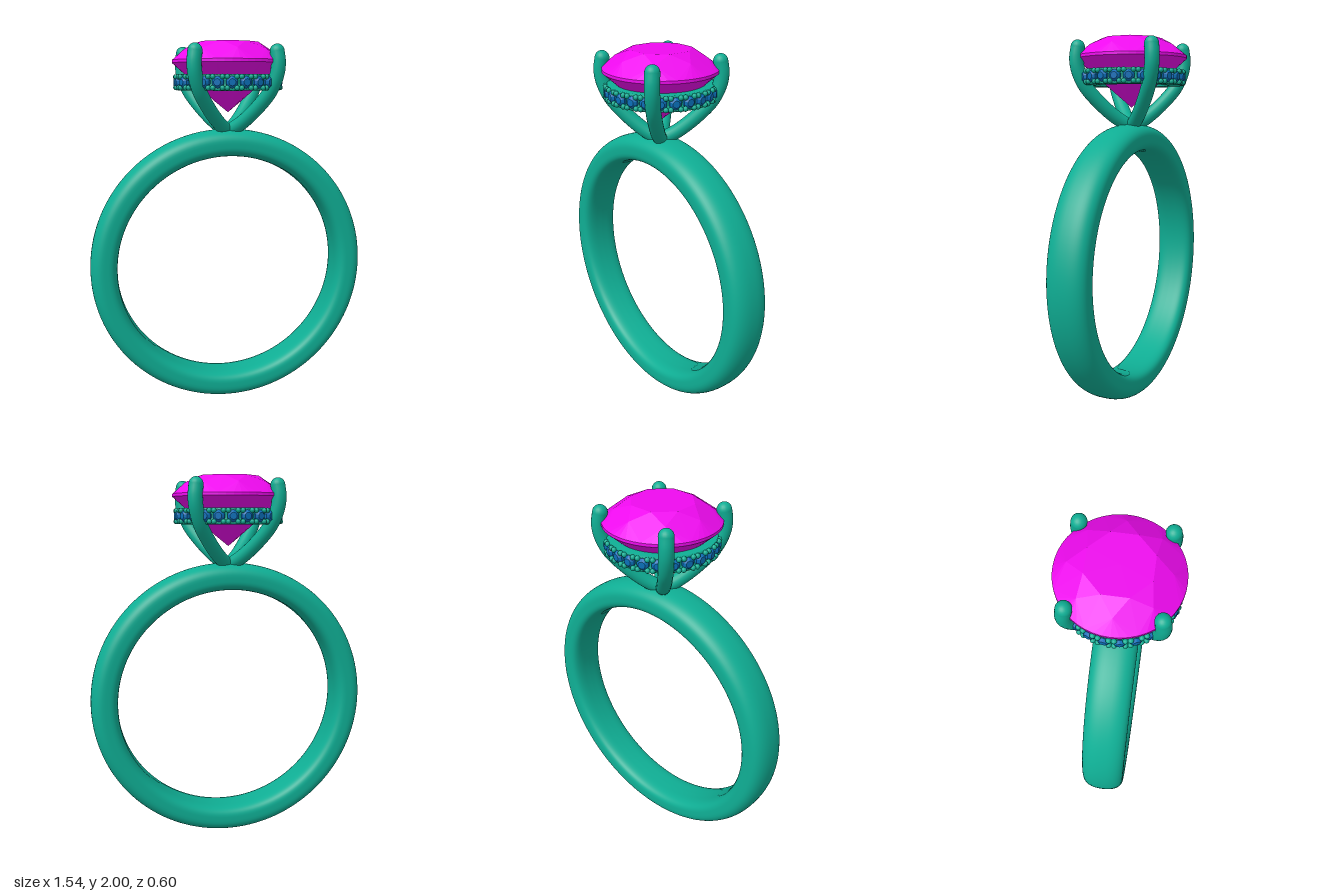
import * as THREE from 'three';

const metal = new THREE.MeshStandardMaterial({ color: 0x0fae94 });
const pink = new THREE.MeshStandardMaterial({ color: 0xee0aee, flatShading: true });
const blue = new THREE.MeshStandardMaterial({ color: 0x0a6fb8, flatShading: true });

function add(parent, name, geometry, material) {
  const mesh = new THREE.Mesh(geometry, material);
  mesh.name = name;
  parent.add(mesh);
  return mesh;
}

// Point at azimuth a (measured from +z towards +x), radius r, height y
const polar = (r, a, y) => new THREE.Vector3(r * Math.sin(a), y, r * Math.cos(a));

// Round brilliant: table, star, kite and half facets, thin girdle, pavilion
function brilliantGeometry() {
  const pos = [];
  const tri = (...pts) => pts.forEach((p) => pos.push(p.x, p.y, p.z));
  const step = Math.PI / 4, half = step / 2, arc = 6;
  const top = new THREE.Vector3(0, 2, 0), culet = new THREE.Vector3(0, 1.63, 0);
  const R = 0.3, yUp = 1.905, yLow = 1.89;
  for (let k = 0; k < 8; k++) {
    const a = k * step, l = a - half, r = a + half;
    const t0 = polar(0.163, l, 2), t1 = polar(0.163, r, 2);
    const s = polar(0.235, a, 1.962), sNext = polar(0.235, a + step, 1.962);
    const p = polar(0.07, a, 1.686), pNext = polar(0.07, a + step, 1.686);
    const gUp = polar(R, r, yUp), gLow = polar(R, r, yLow);
    tri(top, t0, t1);
    tri(t0, s, t1);
    tri(t1, s, gUp);
    tri(t1, gUp, sNext);
    tri(culet, pNext, p);
    tri(p, pNext, gLow);
    for (let i = 0; i < arc; i++) {
      const b = l + (step * i) / arc, c = b + step / arc;
      const u0 = polar(R, b, yUp), u1 = polar(R, c, yUp);
      const d0 = polar(R, b, yLow), d1 = polar(R, c, yLow);
      tri(s, u0, u1);
      tri(u0, d0, d1);
      tri(u0, d1, u1);
      tri(p, d1, d0);
    }
  }
  const g = new THREE.BufferGeometry();
  g.setAttribute('position', new THREE.Float32BufferAttribute(pos, 3));
  g.computeVertexNormals();
  return g;
}

// Band section: domed outside, flatter rounded inside
function bandGeometry() {
  const pts = [];
  for (let i = 0; i <= 48; i++) {
    const a = -Math.PI + (i / 48) * Math.PI * 2;
    const c = Math.cos(a), s = Math.sin(a);
    const e = 2 / (c > 0 ? 2.4 : 3.5);
    pts.push(new THREE.Vector2(
      0.697 + Math.sign(c) * 0.073 * Math.abs(c) ** e,
      Math.sign(s) * 0.112 * Math.abs(s) ** e));
  }
  return new THREE.LatheGeometry(pts, 128).rotateX(Math.PI / 2);
}

export function createModel() {
  const model = new THREE.Group();
  model.name = 'ring';

  add(model, 'band', bandGeometry(), metal).position.y = 0.77;
  add(model, 'centreStone', brilliantGeometry(), pink);

  // Four claws, each curving up along a diagonal
  const path = new THREE.CatmullRomCurve3([
    [0.015, 1.535], [0.065, 1.578], [0.13, 1.655], [0.187, 1.745],
    [0.214, 1.83], [0.219, 1.89], [0.213, 1.945],
  ].map(([d, y]) => new THREE.Vector3(d, y, d)));
  const clawGeo = new THREE.TubeGeometry(path, 40, 0.038, 20);
  const tipGeo = new THREE.SphereGeometry(0.038, 20, 14);
  for (let k = 0; k < 4; k++) {
    const claw = new THREE.Group();
    claw.name = 'claw';
    claw.rotation.y = (k * Math.PI) / 2;
    add(claw, 'clawArm', clawGeo, metal);
    add(claw, 'clawTip', tipGeo, metal).position.copy(path.getPoint(1));
    add(claw, 'clawFoot', tipGeo, metal).position.copy(path.getPoint(0));
    model.add(claw);
  }

  // Halo rail under the centre stone
  const rail = [[0.2, 1.825], [0.2, 1.752], [0.205, 1.747], [0.272, 1.747], [0.277, 1.752],
    [0.277, 1.765], [0.268, 1.77], [0.268, 1.81], [0.277, 1.815], [0.277, 1.825],
    [0.272, 1.83], [0.205, 1.83], [0.2, 1.825]].map(([r, y]) => new THREE.Vector2(r, y));
  add(model, 'haloRail', new THREE.LatheGeometry(rail, 96), metal);

  // Small stones set around the rail, with a bead above and below each gap
  const stoneGeo = new THREE.LatheGeometry([[0.031, -0.012], [0.031, 0], [0.018, 0.014], [0, 0.014]]
    .map(([r, y]) => new THREE.Vector2(r, y)), 10).rotateX(Math.PI / 2);
  const beadGeo = new THREE.SphereGeometry(0.0135, 10, 8);
  const count = 24;
  for (let i = 0; i < count; i++) {
    const a = ((i + 0.5) / count) * Math.PI * 2;
    const stone = add(model, 'haloStone', stoneGeo, blue);
    stone.position.copy(polar(0.279, a, 1.789));
    stone.rotation.y = a;
    for (const side of [-1, 1]) {
      for (const shift of [-0.3, 0.3]) {
        const b = a + ((0.5 + shift * 0.55) / count) * Math.PI * 2;
        add(model, 'haloBead', beadGeo, metal).position.copy(polar(0.283, b, 1.789 + side * 0.028));
      }
    }
  }
  return model;
}
